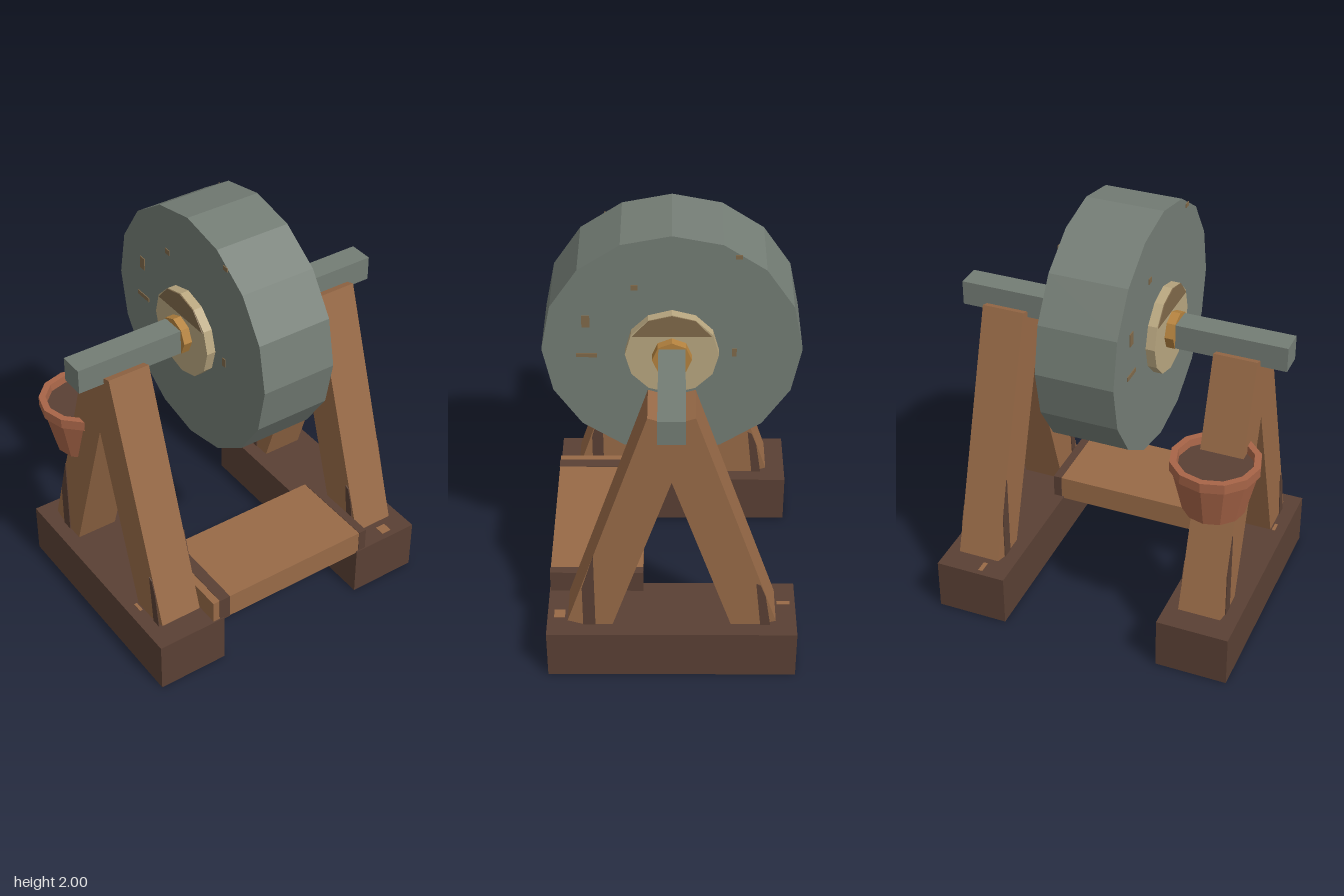
import * as THREE from 'three';

export function createModel() {
  const model = new THREE.Group();
  model.name = 'grindstone';

  const material = (name, color) => {
    const m = new THREE.MeshStandardMaterial({ color, flatShading: true });
    m.name = name;
    return m;
  };
  const stone = material('grey stone', 0x747d75);
  const wood = material('wood', 0x986a47);
  const darkWood = material('dark wood', 0x5a4034);
  const clay = material('clay', 0xa86548);
  const brass = material('brass', 0xb5833f);
  const tan = material('pale tan', 0xb9a780);
  const rust = material('dull brown', 0x80694a);

  const add = (name, geometry, mat, x = 0, y = 0, z = 0) => {
    const mesh = new THREE.Mesh(geometry, mat);
    mesh.name = name;
    mesh.position.set(x, y, z);
    model.add(mesh);
    return mesh;
  };
  const box = (name, mat, w, h, d, x, y, z) =>
    add(name, new THREE.BoxGeometry(w, h, d), mat, x, y, z);
  // Prism lying along the x axis
  const disc = (name, mat, radius, width, sides, y) =>
    add(name, new THREE.CylinderGeometry(radius, radius, width, sides).rotateZ(Math.PI / 2), mat, 0, y);
  // Thin plate on a face looking along +x, repeated half a turn around y
  const plates = (name, mat, x, points) => {
    const shape = new THREE.Shape(points.map(([z, y]) => new THREE.Vector2(-z, y)));
    const geo = new THREE.ExtrudeGeometry(shape, { depth: 0.004, bevelEnabled: false });
    geo.rotateY(Math.PI / 2).translate(x, 0, 0);
    add(name, geo, mat);
    add(name, geo, mat).rotation.y = Math.PI;
  };

  // Wheel, flange, nut and square axle
  const axleY = 1.435;
  disc('wheel', stone, 0.565, 0.356, 16, axleY);
  disc('flange', tan, 0.203, 0.44, 12, axleY);
  disc('nut', brass, 0.086, 0.52, 8, axleY);
  box('axle', stone, 1.54, 0.116, 0.116, 0, 1.433, 0);

  // Worn top of each flange and small rust spots on the wheel
  plates('flangeWear', rust, 0.22,
    [[0.17, 1.53], [0.1, 1.61], [0, 1.635], [-0.1, 1.61], [-0.17, 1.53]]);
  const spots = [[0.37, 1.58, 0.035, 0.06], [0.37, 1.405, 0.09, 0.02], [0.16, 1.75, 0.03, 0.025],
    [-0.28, 1.9, 0.03, 0.02], [-0.27, 1.42, 0.02, 0.04]];
  for (const [z, y, w, h] of spots) {
    plates('rustSpot', rust, 0.178,
      [[z + w / 2, y - h / 2], [z - w / 2, y - h / 2], [z - w / 2, y + h / 2], [z + w / 2, y + h / 2]]);
  }

  // Base beams and crossed legs on both sides
  for (const side of [-1, 1]) {
    box('baseBeam', darkWood, 0.34, 0.25, 1.13, side * 0.55, 0.125, 0);
    for (const s of [-1, 1]) {
      const leg = box('leg', wood, 0.2, 1.203, 0.2, side * 0.55, 0.814, s * 0.19);
      leg.rotation.x = -s * 0.3126;
    }
  }
  // Dark stains at the feet of the legs
  for (const x of [0.65, -0.45]) {
    plates('frontStain', darkWood, x, [[0.4, 0.25], [0.345, 0.25], [0.345, 0.66], [0.4, 0.47]]);
    plates('rearStain', darkWood, x,
      [[-0.4, 0.25], [-0.445, 0.25], [-0.42, 0.42], [-0.395, 0.49], [-0.375, 0.5]]);
  }
  // Bare wood chips on the beams
  box('beamChip', wood, 0.05, 0.004, 0.05, 0.585, 0.251, 0.51);
  box('beamChip', wood, 0.02, 0.004, 0.06, 0.51, 0.251, -0.51);
  box('beamChip', wood, 0.015, 0.004, 0.05, -0.665, 0.251, 0.29);

  // Cross plank with dark bands wrapped around its ends
  box('plank', wood, 0.865, 0.12, 0.425, -0.002, 0.3, 0.346);
  box('plankBand', darkWood, 0.055, 0.124, 0.429, -0.373, 0.3, 0.346);
  box('plankBand', darkWood, 0.04, 0.124, 0.429, 0.412, 0.3, 0.346);

  // Clay bucket with a thick rim and dark contents
  const profile = [[0, 0.78], [0.142, 0.78], [0.192, 0.985], [0.203, 0.99], [0.203, 1.037],
    [0.172, 1.037], [0.165, 0.985]].map(([r, y]) => new THREE.Vector2(r, y));
  add('bucket', new THREE.LatheGeometry(profile, 12), clay, -0.55, 0, -0.315);
  add('bucketContents', new THREE.CylinderGeometry(0.17, 0.165, 0.01, 12), darkWood, -0.55, 0.997, -0.315);

  return model;
}
